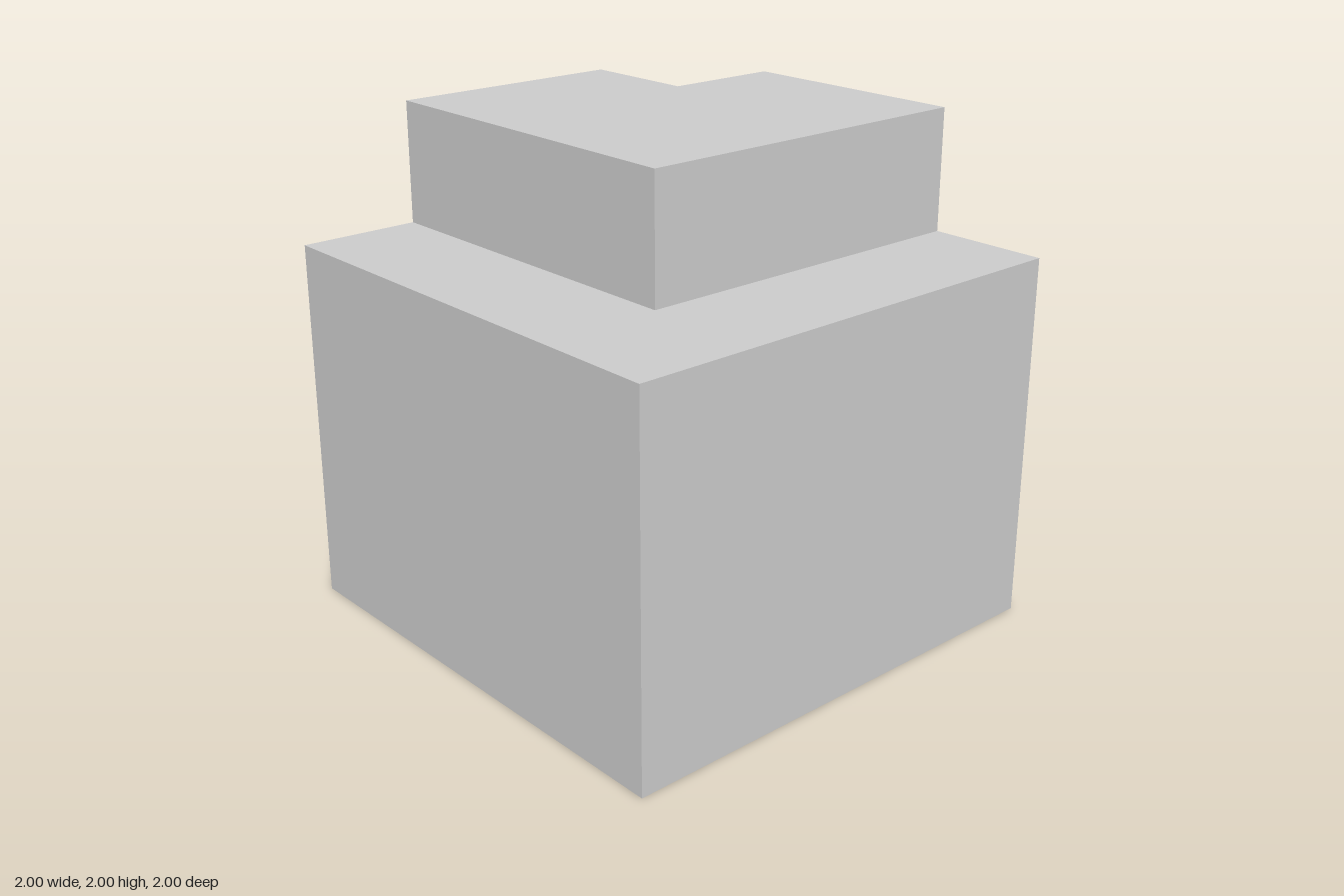
import * as THREE from 'three';

export function createModel() {
  const model = new THREE.Group();
  model.name = 'steppedBlock';
  const material = new THREE.MeshStandardMaterial({ color: 0xcccccc, flatShading: true });

  // Extrudes a floor plan of [x, z] corners upward from y0 to y1
  function addSlab(name, plan, y0, y1) {
    const shape = new THREE.Shape(plan.map(([x, z]) => new THREE.Vector2(x, -z)));
    const geometry = new THREE.ExtrudeGeometry(shape, { depth: y1 - y0, bevelEnabled: false });
    geometry.rotateX(-Math.PI / 2).translate(0, y0, 0);
    const mesh = new THREE.Mesh(geometry, material);
    mesh.name = name;
    model.add(mesh);
  }

  // Square base
  addSlab('base', [[-1, 1], [1, 1], [1, -1], [-1, -1]], 0, 1.5);

  // Upper step, flush with the left and back sides, its back left corner notched out
  addSlab('upperStep', [[-0.5, 0.5], [1, 0.5], [1, -0.5], [0.5, -0.5], [0.5, -1], [-0.5, -1]], 1.5, 2);

  return model;
}
